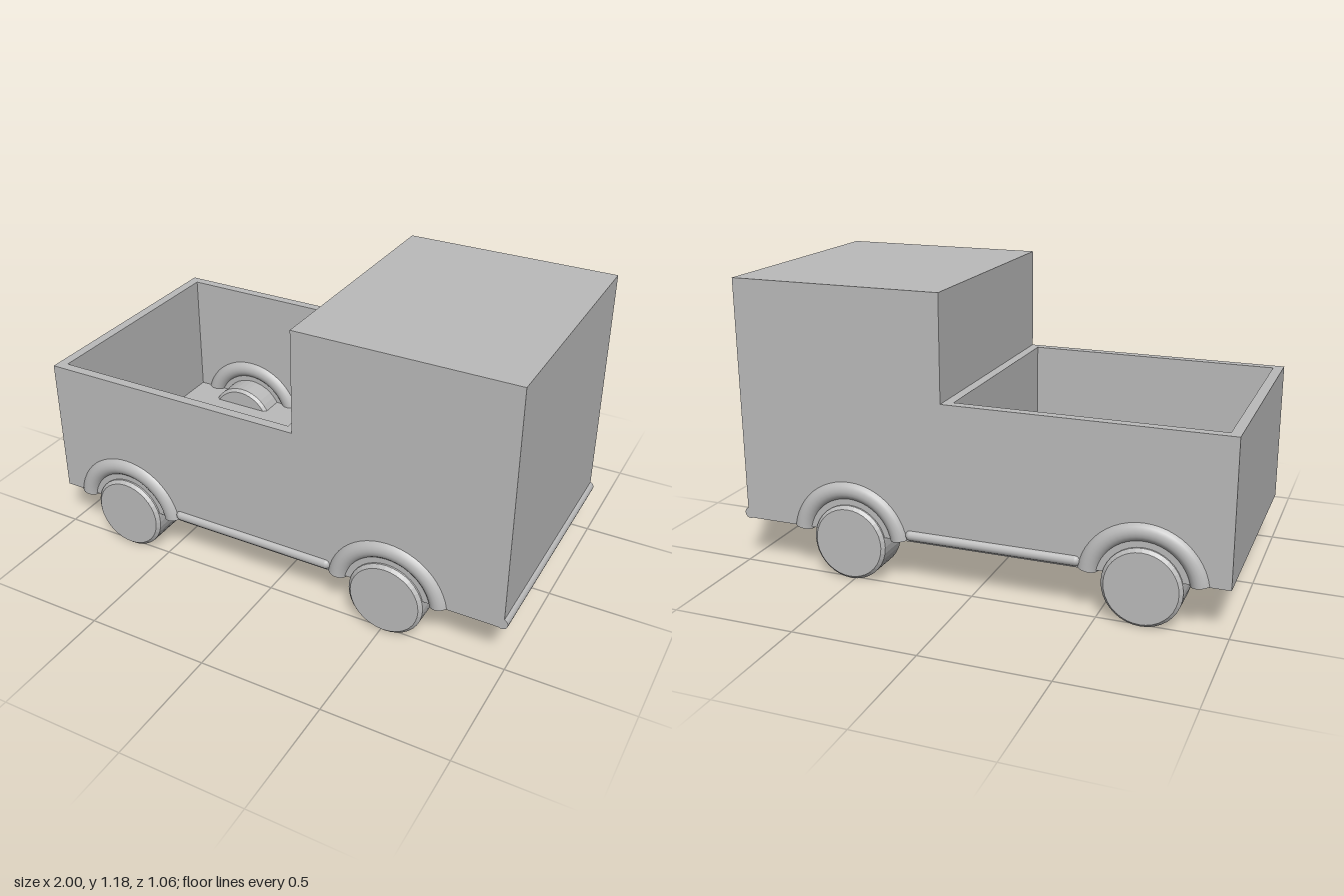
import * as THREE from 'three';

const grey = new THREE.MeshStandardMaterial({ color: 0xbbbbbb });
grey.name = 'grey';
const greyFaceted = grey.clone();
greyFaceted.flatShading = true;

function part(name, geometry, parent, material = grey) {
  const mesh = new THREE.Mesh(geometry, material);
  mesh.name = name;
  parent.add(mesh);
  return mesh;
}

// Box given by its minimum and maximum corners
function block(x0, y0, z0, x1, y1, z1) {
  return new THREE.BoxGeometry(x1 - x0, y1 - y0, z1 - z0)
    .translate((x0 + x1) / 2, (y0 + y1) / 2, (z0 + z1) / 2);
}

function rectangle(PathType, x0, x1, z) {
  const p = new PathType();
  p.moveTo(x0, -z);
  p.lineTo(x1, -z);
  p.lineTo(x1, z);
  p.lineTo(x0, z);
  p.closePath();
  return p;
}

export function createModel() {
  const truck = new THREE.Group();
  truck.name = 'pickupTruck';

  const halfWidth = 0.507, base = 0.193, bedTop = 0.765, cabBack = 0.115;

  // Cab
  part('cab', block(cabBack, base, -halfWidth, 0.985, 1.185, halfWidth), truck);

  // Open cargo bed: a ring of walls with a thin floor
  const ring = rectangle(THREE.Shape, -1, cabBack, halfWidth);
  ring.holes.push(rectangle(THREE.Path, -0.96, 0.077, 0.468));
  const walls = new THREE.ExtrudeGeometry(ring, { depth: bedTop - base, bevelEnabled: false })
    .rotateX(-Math.PI / 2).translate(0, base, 0);
  part('bedWalls', walls, truck);
  part('bedFloor', block(-0.96, base, -0.468, 0.077, 0.23, 0.468), truck);

  // Wheels and mudguards
  const r = 0.155, bevel = 0.013, inner = 0.363, outer = 0.527;
  const archR = 0.215, tube = 0.041, tilt = 0.165;
  for (const side of [1, -1]) {
    const sideName = side > 0 ? 'front' : 'back';
    const innerEdge = side > 0 ? [[r, inner]] : [[r - bevel, inner], [r, inner + bevel]];
    const profile = [[0, inner], ...innerEdge, [r, outer - bevel], [r - bevel, outer], [0, outer]]
      .map(([x, y]) => new THREE.Vector2(x, y));

    for (const [x, end] of [[-0.675, 'Rear'], [0.515, 'Fore']]) {
      const wheel = new THREE.LatheGeometry(profile, 36)
        .rotateX(side * Math.PI / 2).translate(x, r, 0);
      part(sideName + end + 'Wheel', wheel, truck, greyFaceted);

      const guard = new THREE.Group();
      guard.name = sideName + end + 'Mudguard';
      guard.position.set(x, r, side * 0.487);
      truck.add(guard);
      part('arch', new THREE.TorusGeometry(archR, tube, 20, 24, Math.PI - 2 * tilt).rotateZ(tilt), guard);
      for (const [turn, angle] of [[1, tilt], [-1, Math.PI - tilt]]) {
        part('archEnd', new THREE.CircleGeometry(tube, 20)
          .rotateX(turn * Math.PI / 2).translate(archR, 0, 0).rotateZ(angle), guard);
      }
    }

    // Round-ended side rail
    part(sideName + 'SideRail', new THREE.CapsuleGeometry(0.022, 0.67, 6, 16)
      .rotateZ(Math.PI / 2).translate(-0.082, 0.218, side * 0.5), truck);
  }

  // Round bumper bar across the nose
  part('bumper', new THREE.CylinderGeometry(0.023, 0.023, halfWidth * 2, 20)
    .rotateX(Math.PI / 2).translate(0.977, 0.213, 0), truck);

  return truck;
}
